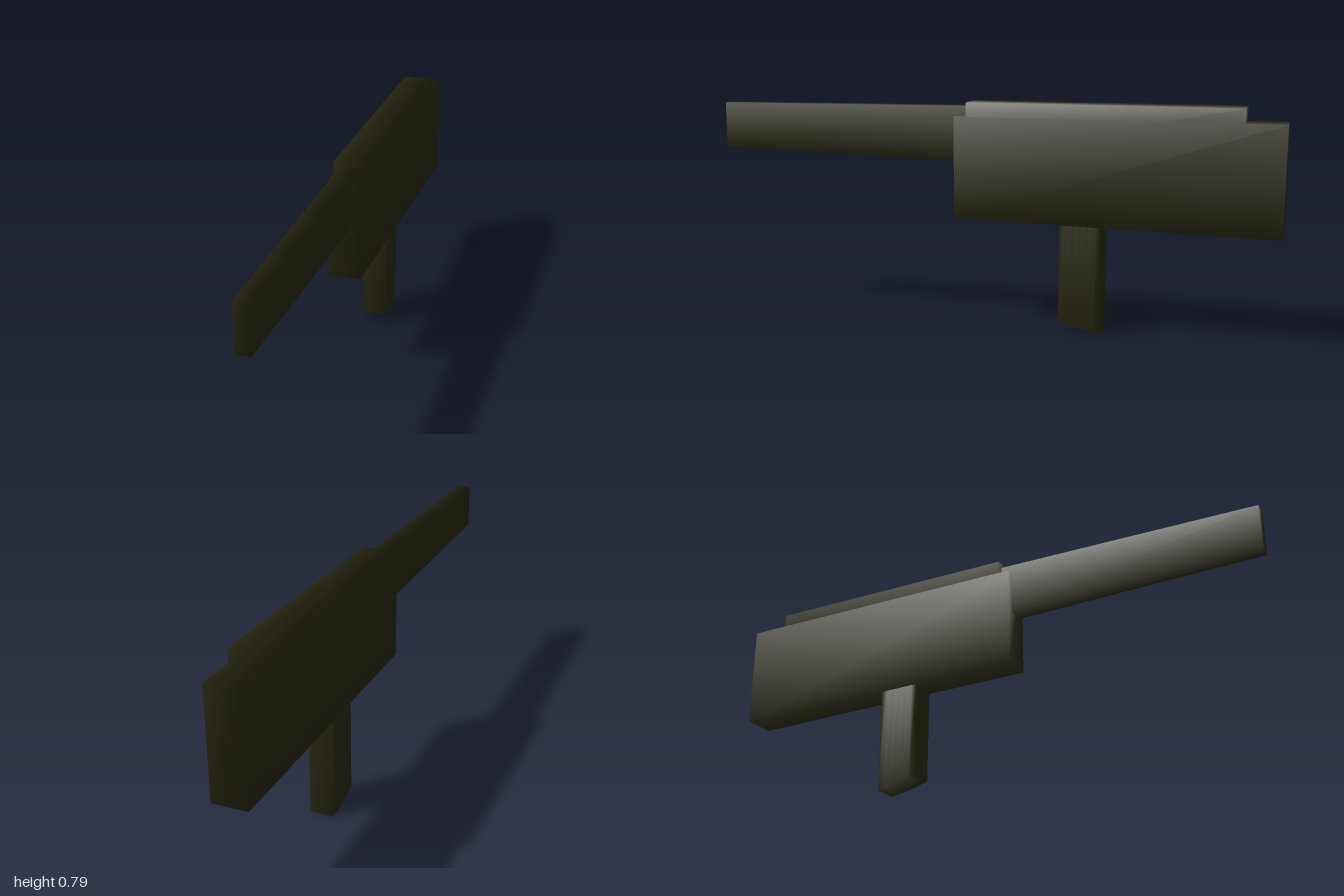
import * as THREE from 'three';
import { mergeVertices } from 'three/addons/utils/BufferGeometryUtils.js';

const olive = new THREE.MeshStandardMaterial({ color: 0x25240f });
olive.name = 'darkOlive';

// Tapered box along z with softly blended normals.
// Each end is [half width, bottom y, top y]; sag drops the middle of the underside.
function taperedBox(name, zBack, zFront, back, front, segments = 1, sag = 0) {
  let geo = new THREE.BoxGeometry(1, 1, 1, 1, 1, segments);
  const p = geo.attributes.position;
  for (let i = 0; i < p.count; i++) {
    const t = p.getZ(i) + 0.5;
    const [half, low, high] = back.map((v, k) => THREE.MathUtils.lerp(v, front[k], t));
    const y = p.getY(i) > 0 ? high : low - sag * 4 * t * (1 - t);
    p.setXYZ(i, Math.sign(p.getX(i)) * half, y, THREE.MathUtils.lerp(zBack, zFront, t));
  }
  geo.deleteAttribute('normal');
  geo.deleteAttribute('uv');
  geo = mergeVertices(geo);
  geo.computeVertexNormals();
  const mesh = new THREE.Mesh(geo, olive);
  mesh.name = name;
  return mesh;
}

export function createModel() {
  const model = new THREE.Group();
  model.name = 'model';
  model.add(
    // main housing, slightly deeper at the rear
    taperedBox('body', -1, 0.11, [0.06, 0.367, 0.739], [0.055, 0.378, 0.731]),
    // raised cover along the top
    taperedBox('topRail', -0.868, 0.068, [0.055, 0.6, 0.787], [0.051, 0.6, 0.78]),
    // long slab barrel narrowing to the front
    taperedBox('barrel', 0.05, 1, [0.0285, 0.575, 0.766], [0.024, 0.59, 0.752]),
    // grip with a gently curved lower end
    taperedBox('grip', -0.41, -0.262, [0.042, 0, 0.45], [0.042, 0.035, 0.45], 6, 0.005),
  );
  return model;
}
